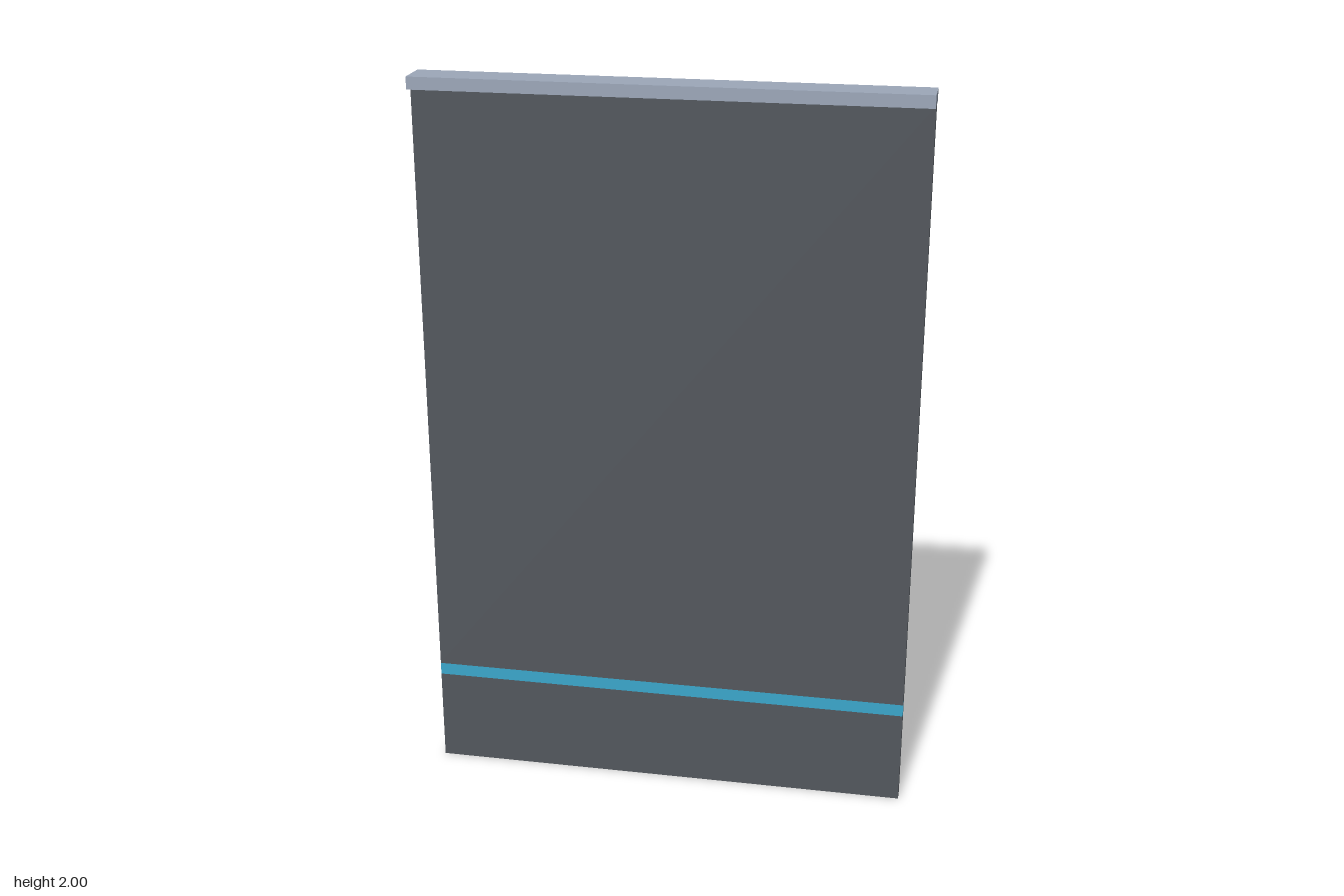
import * as THREE from 'three';

const WIDTH = 1.333;
const THICKNESS = 0.033;

export function createModel() {
  const group = new THREE.Group();
  group.name = 'hangingPanel';

  const material = (name, color) => {
    const m = new THREE.MeshStandardMaterial({ color });
    m.name = name;
    return m;
  };
  const charcoal = material('charcoal', 0x53575d);
  const skyBlue = material('sky blue', 0x3ba7cb);
  const paleSteel = material('pale steel', 0x9ca7b9);

  // Full-width slab between two heights
  const slab = (name, bottom, top, depth, mat) => {
    const mesh = new THREE.Mesh(new THREE.BoxGeometry(WIDTH, top - bottom, depth), mat);
    mesh.name = name;
    mesh.position.y = (bottom + top) / 2;
    group.add(mesh);
  };

  // Panel, split by the coloured band that wraps all round it
  slab('lowerPanel', 0, 0.267, THICKNESS, charcoal);
  slab('accentBand', 0.267, 0.302, THICKNESS, skyBlue);
  slab('upperPanel', 0.302, 1.967, THICKNESS, charcoal);

  // Wider rail along the top edge
  slab('topRail', 1.967, 2, 0.1, paleSteel);

  return group;
}
